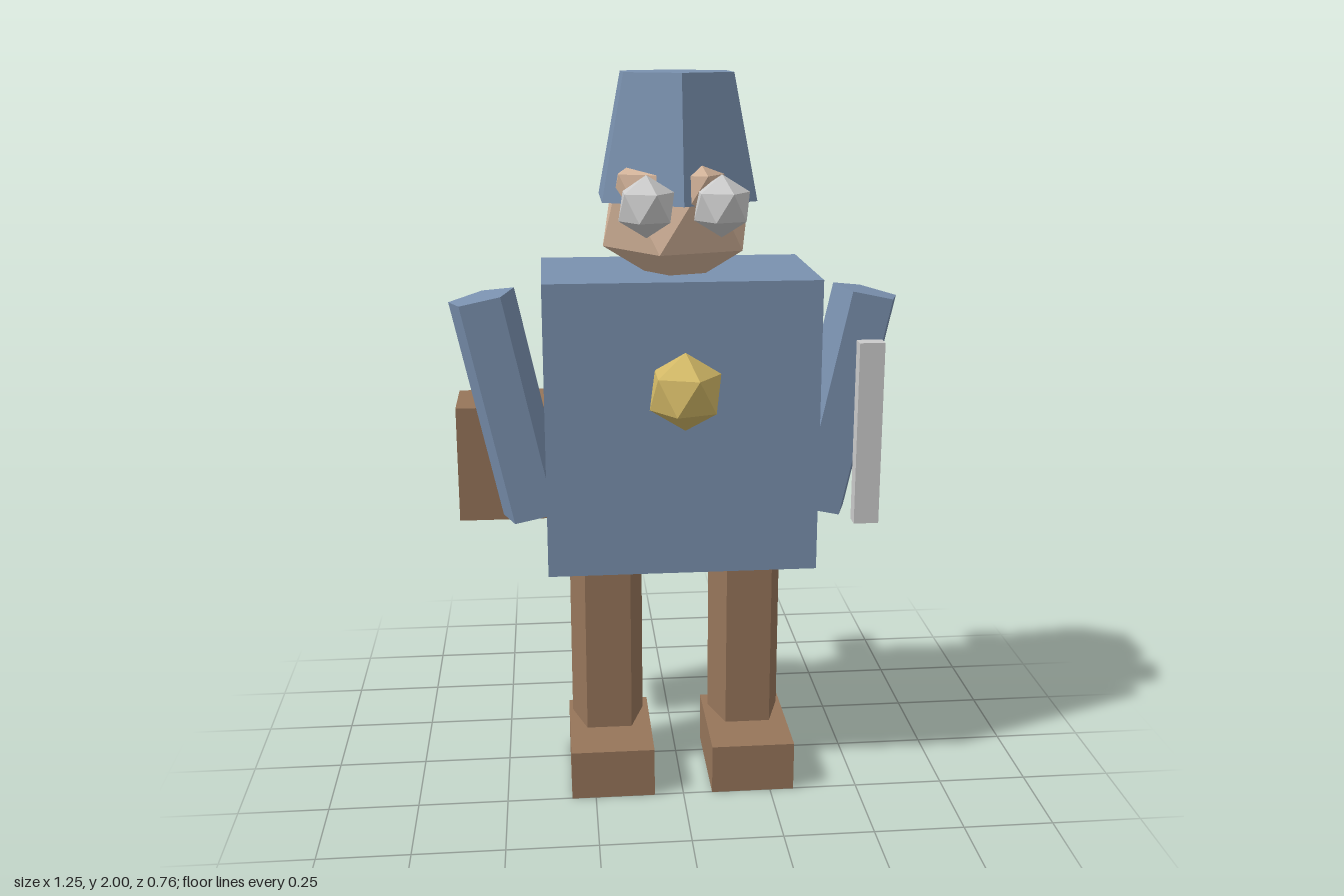
import * as THREE from 'three';

export function createModel() {
  const model = new THREE.Group();
  const material = (name, color) => {
    const m = new THREE.MeshStandardMaterial({ color, flatShading: true });
    m.name = name;
    return m;
  };
  const blue = material('blue cloth', 0x7a91af);
  const brown = material('brown leather', 0x96755a);
  const grey = material('light grey metal', 0xcbcbcb);
  const skin = material('skin', 0xd6b69c);
  const gold = material('gold', 0xd2b866);

  const add = (name, geometry, mat, x, y, z) => {
    const mesh = new THREE.Mesh(geometry, mat);
    mesh.name = name;
    mesh.position.set(x, y, z);
    model.add(mesh);
    return mesh;
  };
  const box = (w, h, d) => new THREE.BoxGeometry(w, h, d);
  // Prism with its first corner at the back
  const prism = (rTop, rBottom, h, sides) =>
    new THREE.CylinderGeometry(rTop, rBottom, h, sides).rotateY(Math.PI);
  // Twenty-faced ball with a corner at the very top
  const ball = (r) =>
    new THREE.IcosahedronGeometry(r, 0).rotateZ(-Math.atan(2 / (1 + Math.sqrt(5))));

  // Torso, head and hat
  add('torso', box(0.738, 0.805, 0.448), blue, 0, 1.073, 0.012);
  add('head', ball(0.225), skin, 0, 1.645, 0.043);
  add('hat', prism(0.167, 0.237, 0.33, 6), blue, 0, 1.835, 0.01);
  add('chestOrb', ball(0.105), gold, 0, 1.195, 0.288);

  // Paired parts, mirrored across x
  for (const [side, s] of [['left', 1], ['right', -1]]) {
    add(side + 'Eye', ball(0.08), grey, s * 0.097, 1.672, 0.245);
    const arm = add(side + 'Arm', prism(0.097, 0.097, 0.633, 5), blue, s * 0.469, 1.096, 0.012);
    arm.rotation.z = -s * 0.21;
    add(side + 'Leg', prism(0.11, 0.11, 0.698, 5), brown, s * 0.203, 0.351, 0.012);
    add(side + 'Foot', box(0.235, 0.142, 0.335), brown, s * 0.2, 0.071, 0.085);
    add(side + 'BackPipe', prism(0.058, 0.058, 0.26, 6).rotateX(Math.PI / 2), grey, s * 0.24, 1.215, -0.25);
  }

  // Carried items
  add('bag', box(0.287, 0.335, 0.212), brown, -0.477, 0.908, -0.156);
  add('blade', box(0.07, 0.518, 0.045), grey, 0.524, 1.028, 0.133);

  return model;
}
